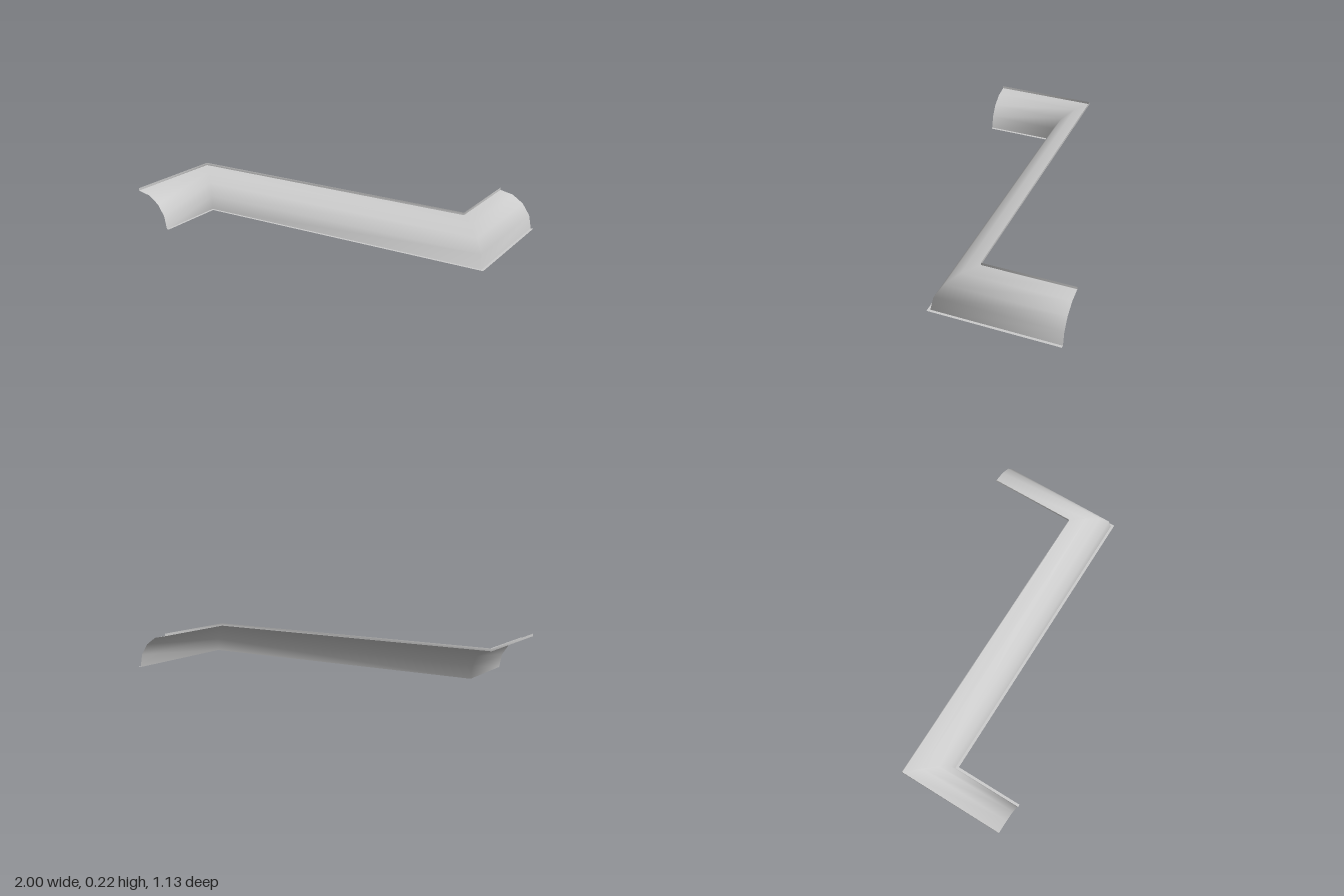
import * as THREE from 'three';

const R = 0.2;      // radius of the quarter-round face
const LIP = 0.215;  // outer reach of both flat lips

// Mitred Z-shaped run along the wall, shifted outward by d
const pathAt = (d) => [
  [-1 + d, 0.566],
  [-1 + d, -0.05 + d],
  [1 - LIP + d, -0.05 + d],
  [1 - LIP + d, -0.566],
];

// Sweep a profile of [outward offset, height] points along the run
function sweep(name, profile, material) {
  const positions = [], index = [];
  const n = 4;
  for (const [d, y] of profile) {
    for (const [x, z] of pathAt(d)) positions.push(x, y, z);
  }
  for (let j = 0; j < profile.length - 1; j++) {
    for (let i = 0; i < n - 1; i++) {
      const a = j * n + i, b = a + 1, c = a + n, e = c + 1;
      index.push(a, c, b, b, c, e);
    }
  }
  const geometry = new THREE.BufferGeometry();
  geometry.setAttribute('position', new THREE.Float32BufferAttribute(positions, 3));
  geometry.setIndex(index);
  geometry.computeVertexNormals();
  const mesh = new THREE.Mesh(geometry, material);
  mesh.name = name;
  return mesh;
}

export function createModel() {
  const group = new THREE.Group();
  group.name = 'quarterRoundMoulding';
  const material = new THREE.MeshStandardMaterial({ color: 0xcccccc, side: THREE.DoubleSide });

  // Rounded face: four facets from the wall top out to the floor
  const arc = [];
  for (let k = 0; k <= 4; k++) {
    const t = (k / 4) * Math.PI / 2;
    arc.push([R * Math.sin(t), R * Math.cos(t)]);
  }

  group.add(
    sweep('wallLip', [[0, LIP], [0, R]], material),
    sweep('roundedFace', arc, material),
    sweep('floorLip', [[R, 0], [LIP, 0]], material),
  );
  return group;
}
